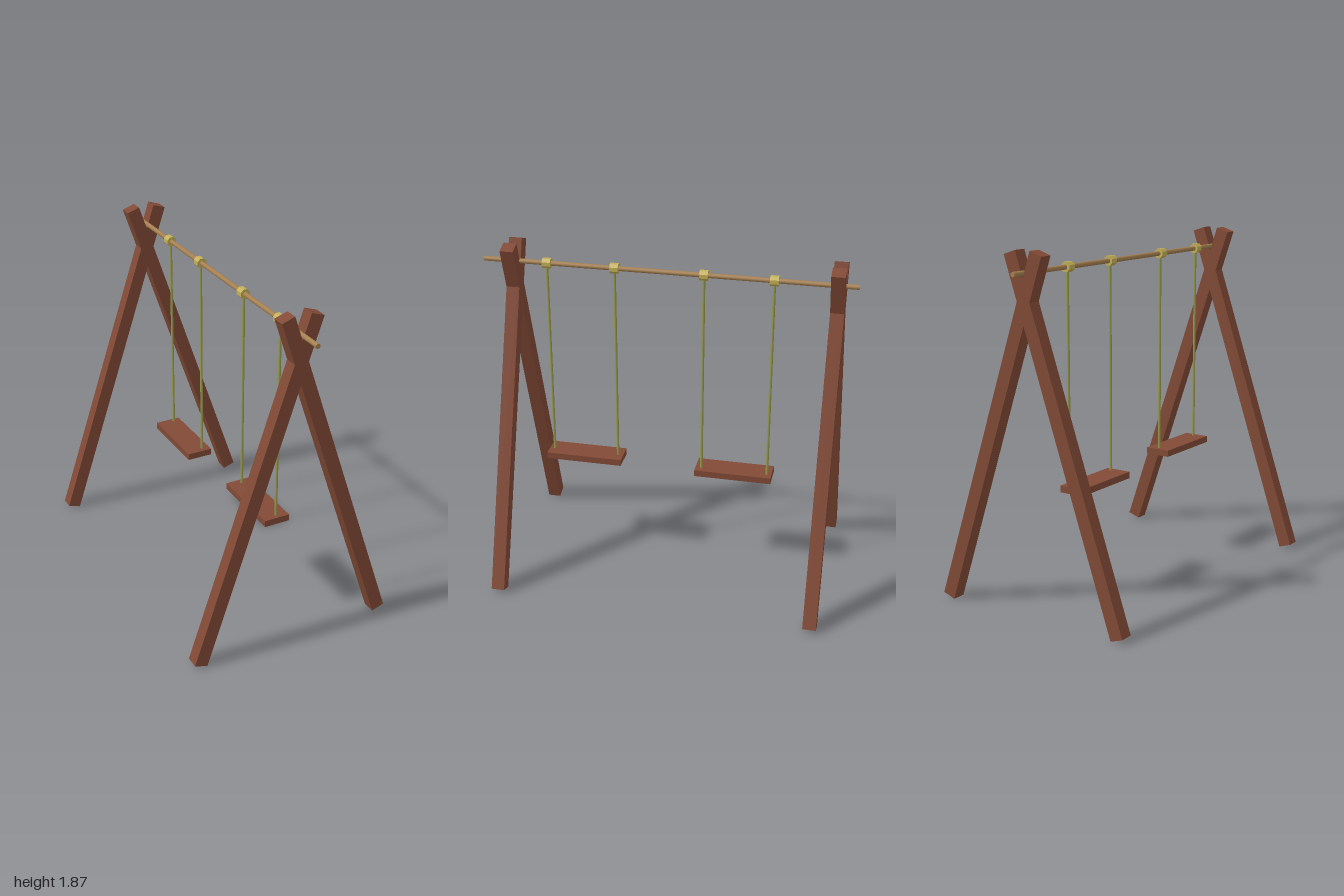
import * as THREE from 'three';

const mat = (name, color) => {
  const m = new THREE.MeshStandardMaterial({ color });
  m.name = name;
  return m;
};

export function createModel() {
  const wood = mat('reddish brown wood', 0x824a36);
  const pole = mat('tan pole', 0xa68050);
  const brass = mat('yellow collar', 0xc4b058);
  const cord = mat('olive rope', 0x979b4e);

  const root = new THREE.Group();
  root.name = 'swingSet';
  const add = (parent, name, geometry, material, x, y, z) => {
    const mesh = new THREE.Mesh(geometry, material);
    mesh.name = name;
    mesh.position.set(x, y, z);
    parent.add(mesh);
    return mesh;
  };

  // Crossed legs at each end, mirrored left to right
  const foot = new THREE.Vector2(0.543, 0.012);
  const tip = new THREE.Vector2(-0.08, 1.855);
  const lean = Math.atan2(foot.x - tip.x, tip.y - foot.y);
  const legGeo = new THREE.BoxGeometry(0.074, foot.distanceTo(tip), 0.072);
  for (const [end, z] of [['front', 0.838], ['back', -0.897]]) {
    const frame = new THREE.Group();
    frame.name = end + 'Frame';
    root.add(frame);
    for (const s of [1, -1]) {
      const leg = add(frame, s > 0 ? 'leftLeg' : 'rightLeg', legGeo, wood,
        s * (foot.x + tip.x) / 2, (foot.y + tip.y) / 2, z);
      leg.rotation.z = s * lean;
    }
  }

  // Round crossbar resting in the forks
  const barX = 0.006, barY = 1.757;
  const barGeo = new THREE.CylinderGeometry(0.013, 0.013, 2, 12).rotateX(Math.PI / 2);
  add(root, 'crossbar', barGeo, pole, barX, barY, 0);

  // Two swings: seat board, two ropes and their collars
  const collarGeo = new THREE.CylinderGeometry(0.028, 0.028, 0.046, 8)
    .rotateY(Math.PI / 8).rotateX(Math.PI / 2).toNonIndexed();
  collarGeo.computeVertexNormals();
  const seatGeo = new THREE.BoxGeometry(0.143, 0.036, 0.428);
  const swings = [
    { name: 'frontSwing', x: 0.003, y: 0.624, z: 0.465, ropes: [0.651, 0.281] },
    { name: 'backSwing', x: -0.019, y: 0.598, z: -0.379, ropes: [-0.198, -0.567] },
  ];
  for (const { name, x, y, z, ropes } of swings) {
    const swing = new THREE.Group();
    swing.name = name;
    root.add(swing);
    add(swing, 'seat', seatGeo, wood, x, y, z);
    const length = barY - y;
    const ropeGeo = new THREE.CylinderGeometry(0.0075, 0.0075, length, 8);
    for (const rz of ropes) {
      add(swing, 'rope', ropeGeo, cord, 0.01, y + length / 2, rz);
      add(swing, 'collar', collarGeo, brass, barX, barY, rz);
    }
  }
  return root;
}
